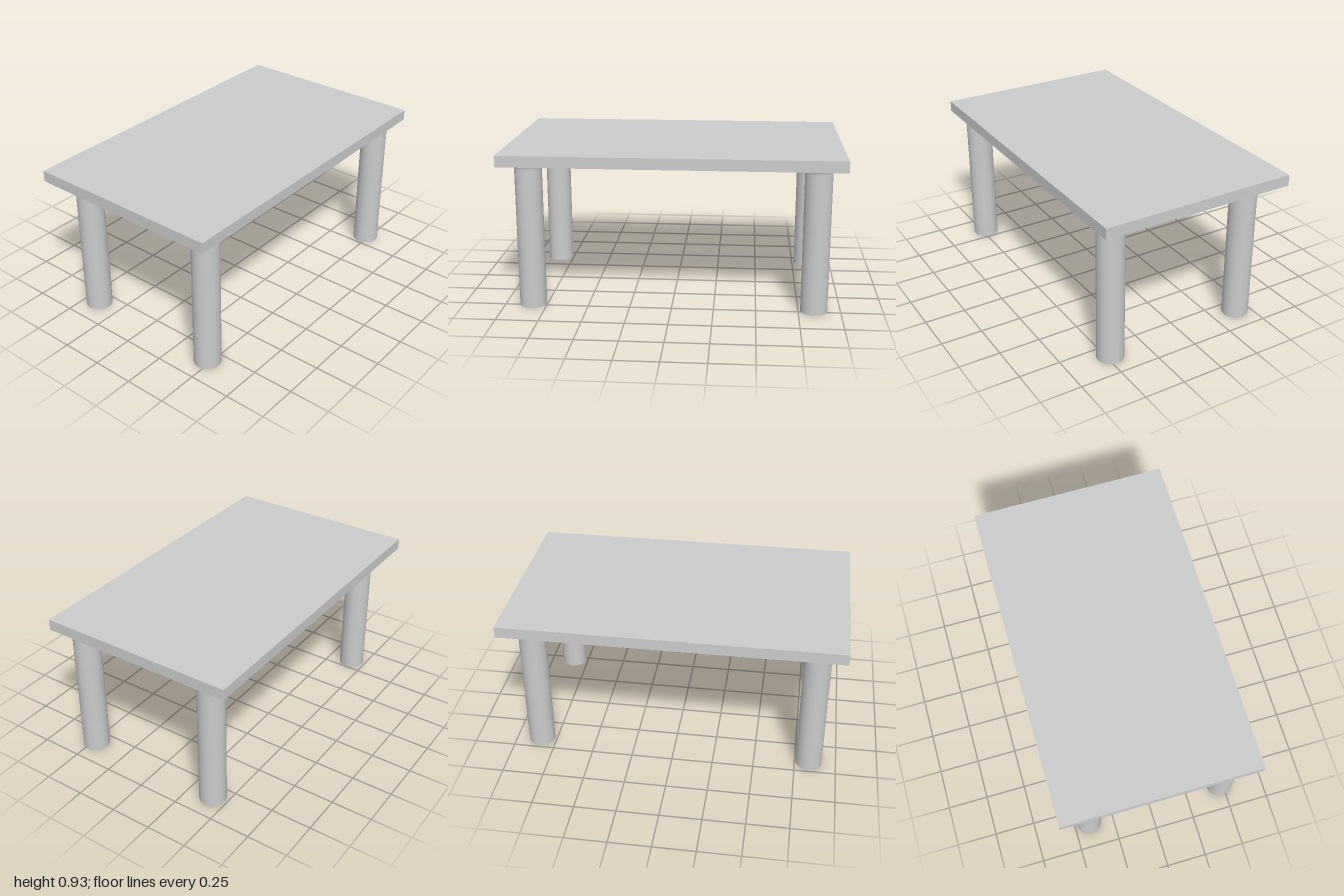
import * as THREE from 'three';

export function createModel() {
  const group = new THREE.Group();
  const material = new THREE.MeshStandardMaterial({ color: 0xcccccc });
  const legHeight = 0.867, topHeight = 0.934, radius = 0.08;

  // Flat rectangular slab
  const top = new THREE.Mesh(new THREE.BoxGeometry(1.194, topHeight - legHeight, 2), material);
  top.name = 'tableTop';
  top.position.y = (legHeight + topHeight) / 2;
  group.add(top);

  // Round leg: straight shaft with a small concave flare under the slab
  const profile = [
    [radius, 0], [radius, 0.42], [radius, 0.842], [0.081, 0.85], [0.084, 0.859], [0.088, legHeight],
  ].map(([r, y]) => new THREE.Vector2(r, y));
  const shaftGeometry = new THREE.LatheGeometry(profile, 32);
  const footGeometry = new THREE.CircleGeometry(radius, 32).rotateX(Math.PI / 2);

  function addLeg(name, x, z) {
    const leg = new THREE.Group();
    leg.name = name;
    const shaft = new THREE.Mesh(shaftGeometry, material);
    shaft.name = 'shaft';
    const foot = new THREE.Mesh(footGeometry, material);
    foot.name = 'foot';
    leg.add(shaft, foot);
    leg.position.set(x, 0, z);
    group.add(leg);
  }

  // The legs sit slightly off centre beneath the slab
  for (const [end, z] of [['front', 0.835], ['back', -0.843]]) {
    addLeg(end + 'LeftLeg', 0.475, z);
    addLeg(end + 'RightLeg', -0.406, z);
  }
  return group;
}
